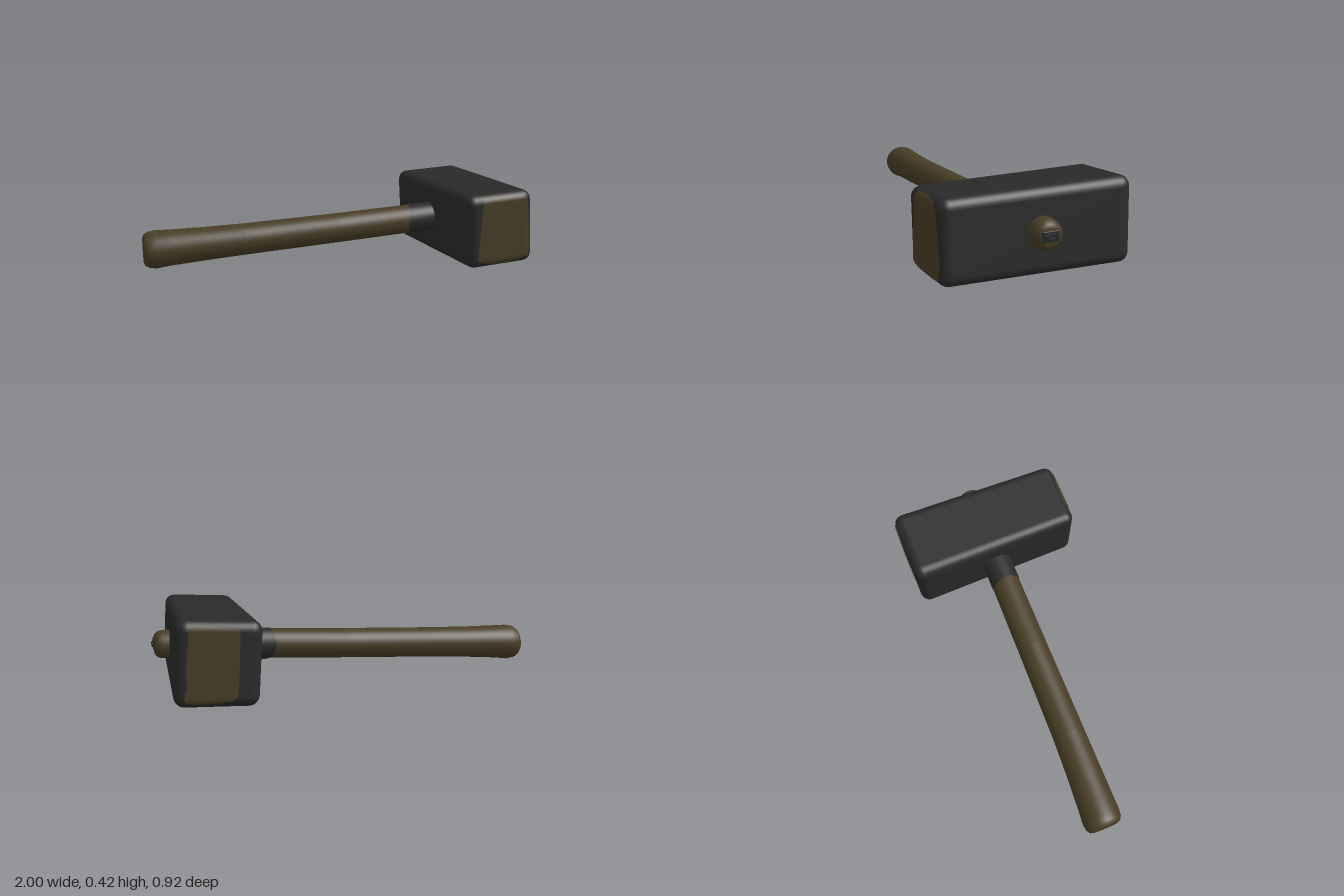
import * as THREE from 'three';
import { RoundedBoxGeometry } from 'three/addons/geometries/RoundedBoxGeometry.js';

const iron = new THREE.MeshStandardMaterial({ color: 0x2a2a2a });
iron.name = 'dark iron';
const wood = new THREE.MeshStandardMaterial({ color: 0x483d26 });
wood.name = 'brown wood';

function add(parent, name, geometry, material) {
  const mesh = new THREE.Mesh(geometry, material);
  mesh.name = name;
  parent.add(mesh);
  return mesh;
}

function indexed(positions, indices) {
  const g = new THREE.BufferGeometry();
  g.setAttribute('position', new THREE.Float32BufferAttribute(positions, 3));
  g.setIndex(indices);
  g.computeVertexNormals();
  return g;
}

// Smooth tube along x from rings [x, centreY, centreZ, radiusY, radiusZ]
function sweep(rings, shift = () => 0) {
  const sides = 36, pos = [], idx = [];
  rings.forEach(([x, cy, cz, ry, rz], i) => {
    for (let j = 0; j < sides; j++) {
      const a = (j / sides) * Math.PI * 2;
      pos.push(x + shift(a, i), cy + Math.cos(a) * ry, cz + Math.sin(a) * rz);
      if (i === rings.length - 1) continue;
      const k = i * sides + j, n = i * sides + ((j + 1) % sides);
      idx.push(k, n, k + sides, n, n + sides, k + sides);
    }
  });
  return indexed(pos, idx);
}

// Head dimensions: half sizes, edge radius and taper towards the front
const HW = 0.189, HH = 0.194, HD = 0.458, R = 0.05;
const taper = (z) => 1 - 0.038 * (z / HD);

// Worn patch draped over an end face; rows are [y, xFrom, xTo]
function drapedPatch(rows, side) {
  const cols = 16, steps = 5, pos = [], idx = [];
  const s = taper(side * HD), total = (rows.length - 1) * steps;
  for (let i = 0; i <= total; i++) {
    const r = Math.min(Math.floor(i / steps), rows.length - 2), t = i / steps - r;
    const [y, x0, x1] = rows[r].map((v, k) => THREE.MathUtils.lerp(v, rows[r + 1][k], t));
    for (let j = 0; j <= cols; j++) {
      const x = THREE.MathUtils.lerp(x0, x1, j / cols);
      const dx = Math.max(0, Math.abs(x) / s - (HW - R));
      const dy = Math.max(0, Math.abs(y) / s - (HH - R));
      const z = HD - R + Math.sqrt(Math.max(0, R * R - dx * dx - dy * dy)) + 0.004;
      pos.push(x, y, side * z);
      if (i === total || j === cols) continue;
      const a = i * (cols + 1) + j, b = a + cols + 1;
      if (side > 0) idx.push(a, b, a + 1, b, b + 1, a + 1);
      else idx.push(a, a + 1, b, b, a + 1, b + 1);
    }
  }
  return indexed(pos, idx);
}

export function createModel() {
  const model = new THREE.Group();
  model.name = 'hammer';

  // Tapered block head, tilted with the handle
  const head = new THREE.Group();
  head.name = 'head';
  head.position.set(0.728, 0.208, 0);
  head.rotation.z = 0.065;
  model.add(head);
  const block = new RoundedBoxGeometry(HW * 2, HH * 2, HD * 2, 4, R);
  const p = block.attributes.position;
  for (let i = 0; i < p.count; i++) {
    const s = taper(p.getZ(i));
    p.setXY(i, p.getX(i) * s, p.getY(i) * s);
  }
  add(head, 'headBlock', block, iron);

  // Worn faces at both ends
  add(head, 'frontFacePatch', drapedPatch([
    [0.178, -0.08, 0.03], [0.168, -0.095, 0.115], [0.144, -0.1, 0.148], [0, -0.118, 0.155],
    [-0.085, -0.128, 0.16], [-0.14, -0.134, 0.152], [-0.155, -0.11, 0.145], [-0.175, -0.06, 0.04],
  ], 1), wood);
  add(head, 'backFacePatch', drapedPatch([
    [0.182, 0.08, 0.14], [0.165, -0.08, 0.145], [0.145, -0.088, 0.138], [0, -0.09, 0.145],
    [-0.1, -0.09, 0.14], [-0.145, -0.088, 0.15], [-0.165, -0.06, 0.148], [-0.178, 0.03, 0.12],
  ], -1), wood);

  // Handle with flared grip, passing through the head
  add(model, 'handle', sweep([
    [-0.995, 0.115, -0.03, 0, 0], [-0.998, 0.115, -0.03, 0.045, 0.045],
    [-1, 0.115, -0.03, 0.062, 0.066], [-0.994, 0.115, -0.03, 0.077, 0.082],
    [-0.975, 0.115, -0.03, 0.09, 0.095], [-0.94, 0.115, -0.029, 0.096, 0.1],
    [-0.87, 0.12, -0.026, 0.091, 0.096], [-0.7, 0.129, -0.02, 0.085, 0.09],
    [-0.5, 0.14, -0.015, 0.081, 0.085], [0, 0.168, -0.01, 0.078, 0.08],
    [0.4, 0.193, -0.007, 0.077, 0.077], [0.9, 0.222, -0.002, 0.071, 0.072],
    [0.95, 0.223, -0.002, 0.07, 0.071], [0.97, 0.223, -0.002, 0.065, 0.065],
    [0.983, 0.223, -0.002, 0.053, 0.053], [0.989, 0.223, -0.002, 0.038, 0.038],
    [0.99, 0.223, -0.002, 0, 0],
  ]), wood);

  // Dark sleeve beside the head, with a wavy edge underneath
  const wave = (a, i) => (i ? 0 : 0.007 * Math.sin(2 * a + 1) + 0.06 * Math.max(0, -Math.cos(a)) ** 8);
  add(model, 'sleeve', sweep([
    [0.4, 0.193, -0.007, 0.08, 0.08], [0.58, 0.203, -0.005, 0.078, 0.078],
  ], wave), iron);

  // Wedge driven into the handle's end
  const wedge = add(model, 'wedge', new RoundedBoxGeometry(0.012, 0.048, 0.08, 2, 0.004), iron);
  wedge.position.set(0.987, 0.226, 0);
  const ring = add(model, 'wedgeRing', new THREE.TorusGeometry(0.025, 0.007, 8, 28), iron);
  ring.rotation.y = Math.PI / 2;
  ring.scale.set(1, 0.45, 1);
  ring.position.set(0.993, 0.227, 0);

  return model;
}
